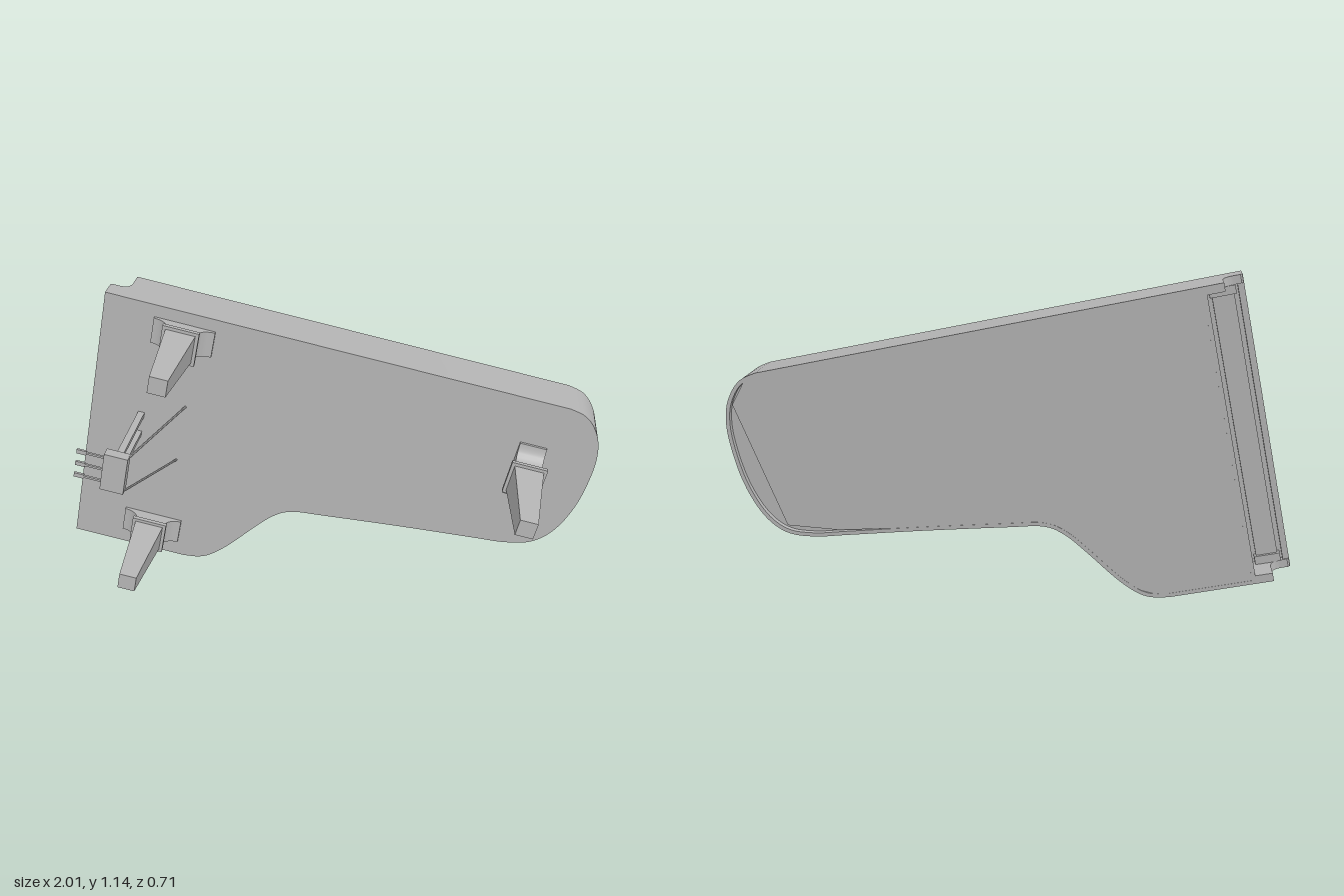
import * as THREE from 'three';
import { toCreasedNormals } from 'three/addons/utils/BufferGeometryUtils.js';

const V2 = (x, y) => new THREE.Vector2(x, y);
const grey = new THREE.MeshStandardMaterial({ color: 0xb4b4b4 });
grey.name = 'plain grey';

const WIDTH = 1.065, HEIGHT = 0.18, FRONT = 0.13;

function part(name, geometry, parent) {
  const mesh = new THREE.Mesh(toCreasedNormals(geometry, 0.5), grey);
  mesh.name = name;
  parent.add(mesh);
  return mesh;
}

function box(name, parent, [w, d, h], [x, y, z]) {
  const mesh = part(name, new THREE.BoxGeometry(w, d, h), parent);
  mesh.position.set(x, y, z);
  return mesh;
}

// Straight rod between two points
function rod(name, parent, a, b, radius) {
  const start = new THREE.Vector3(...a), end = new THREE.Vector3(...b);
  const dir = end.clone().sub(start);
  const mesh = part(name, new THREE.CylinderGeometry(radius, radius, dir.length(), 8), parent);
  mesh.position.copy(start).add(end).multiplyScalar(0.5);
  mesh.quaternion.setFromUnitVectors(new THREE.Vector3(0, 1, 0), dir.normalize());
}

// Slab between two heights above the underside (the lid side is -z)
function slab(shape, from, to) {
  const g = new THREE.ExtrudeGeometry(shape, { depth: to - from, bevelEnabled: false });
  return g.translate(0, 0, -to);
}

// Moves a closed outline inwards by a fixed distance
function inset(points, distance) {
  return points.map((p, i) => {
    const n = points.length;
    const a = p.clone().sub(points[(i + n - 1) % n]).normalize();
    const b = points[(i + 1) % n].clone().sub(p).normalize();
    const normal = V2(-a.y - b.y, a.x + b.x).normalize();
    const miter = Math.max(0.4, normal.dot(V2(-a.y, a.x)));
    return p.clone().addScaledVector(normal, distance / miter);
  });
}

// Case outline: straight front and spine, S-shaped bent side, round tail
function caseOutline() {
  const bend = new THREE.SplineCurve([
    [0.44, 0], [0.505, 0.012], [0.554, 0.042], [0.613, 0.106], [0.692, 0.214], [0.757, 0.294],
    [0.825, 0.337], [0.95, 0.356], [1.25, 0.395], [1.52, 0.426], [1.648, 0.442], [1.743, 0.477],
    [1.808, 0.557], [1.848, 0.689], [1.857, 0.843], [1.842, 0.942], [1.808, 1.007],
    [1.76, 1.05], [1.70, WIDTH],
  ].map(([x, y]) => V2(x, y)));
  return [V2(FRONT, 0), ...bend.getPoints(90), V2(FRONT, WIDTH)];
}

function buildCase(piano) {
  const outline = caseOutline();
  part('caseBody', slab(new THREE.Shape(outline), 0, 0.16), piano);

  const rim = new THREE.Shape(outline);
  rim.holes.push(new THREE.Path(inset(outline, 0.014)));
  part('rim', slab(rim, 0.16, HEIGHT), piano);

  // Lid with straight cuts across the tail and bent side
  const lid = new THREE.Shape([
    [FRONT + 0.005, 0.008], [0.46, 0.008], [0.545, 0.048], [0.605, 0.114], [0.685, 0.225],
    [0.75, 0.305], [0.82, 0.348], [0.95, 0.368], [1.25, 0.407], [1.55, 0.45], [1.73, 0.50],
    [1.81, 0.97], [1.75, 1.04], [1.70, 1.057], [FRONT + 0.005, 1.057],
  ].map(([x, y]) => V2(x, y)));
  part('lid', slab(lid, 0.158, HEIGHT - 0.001), piano);
}

function buildKeyboard(piano) {
  box('keyBed', piano, [FRONT, WIDTH, 0.055], [FRONT / 2, WIDTH / 2, -0.0275]);
  box('keySlip', piano, [0.022, WIDTH, 0.07], [0.011, WIDTH / 2, -0.035]);
  box('keys', piano, [0.075, WIDTH - 0.1, 0.02], [0.075, WIDTH / 2, -0.062]);

  // Curved arms at both ends of the keyboard
  const arm = new THREE.Shape();
  arm.moveTo(0, 0);
  arm.lineTo(FRONT, 0);
  arm.lineTo(FRONT, HEIGHT);
  arm.lineTo(0.07, HEIGHT);
  arm.lineTo(0.07, 0.115);
  arm.quadraticCurveTo(0.068, 0.078, 0.035, 0.076);
  arm.lineTo(0.008, 0.076);
  arm.lineTo(0, 0.068);
  for (const y of [0, WIDTH - 0.03]) {
    const g = new THREE.ExtrudeGeometry(arm, { depth: 0.03, bevelEnabled: false, curveSegments: 8 });
    part('keyboardArm', g.rotateX(-Math.PI / 2), piano).position.y = y;
    box('keyBlock', piano, [0.09, 0.03, 0.03], [0.075, y ? WIDTH - 0.045 : 0.045, -0.068]);
  }
}

// Leg with flared bracket, collar and square taper
function buildLeg(piano, name, x, y, turn) {
  const leg = new THREE.Group();
  leg.name = name;
  leg.position.set(x, y, 0);
  leg.rotation.z = turn;
  piano.add(leg);

  const flare = new THREE.Shape();
  flare.moveTo(-0.112, -0.002);
  flare.lineTo(0.112, -0.002);
  flare.lineTo(0.112, 0.01);
  flare.quadraticCurveTo(0.058, 0.014, 0.052, 0.064);
  flare.lineTo(-0.052, 0.064);
  flare.quadraticCurveTo(-0.058, 0.014, -0.112, 0.01);
  const g = new THREE.ExtrudeGeometry(flare, { depth: 0.1, bevelEnabled: false, curveSegments: 10 });
  part('legBracket', g.translate(0, 0, -0.05).rotateX(Math.PI / 2), leg);
  box('legCollar', leg, [0.132, 0.132, 0.016], [0, 0, 0.07]);

  const taper = new THREE.CylinderGeometry(0.064 / Math.SQRT2, 0.108 / Math.SQRT2, 0.304, 4);
  part('legPost', taper.rotateY(Math.PI / 4).rotateX(Math.PI / 2), leg).position.z = 0.228;
}

function buildPedals(piano) {
  const lyre = new THREE.Group();
  lyre.name = 'pedalLyre';
  piano.add(lyre);
  const x = 0.19, y = 0.563;
  box('pedalBox', lyre, [0.085, 0.15, 0.04], [x, y, 0.34]);
  for (const side of [-1, 1]) {
    box('lyrePost', lyre, [0.024, 0.02, 0.33], [x, y + side * 0.042, 0.16]);
    rod('lyreBrace', lyre, [0.232, y + side * 0.072, 0.335], [0.349, y + side * 0.12, 0], 0.0045);
  }
  for (const i of [-1, 0, 1]) {
    box('pedalStem', lyre, [0.1, 0.008, 0.008], [x - 0.085, y + i * 0.05, 0.342]);
    box('pedalTip', lyre, [0.035, 0.016, 0.009], [x - 0.125, y + i * 0.05, 0.342]);
  }
}

export function createModel() {
  const model = new THREE.Group();
  model.name = 'grandPiano';

  // The piano lies tipped on its lid: x runs to the tail, y to the spine, z down the legs
  const piano = new THREE.Group();
  piano.name = 'tippedPiano';
  const length = new THREE.Vector3(0.976, -0.2, 0.0835).normalize();
  const across = new THREE.Vector3(0.2065, 0.9763, -0.0657);
  const down = length.clone().cross(across).normalize();
  across.crossVectors(down, length);
  piano.applyMatrix4(new THREE.Matrix4().makeBasis(length, across, down).setPosition(-1, 0.1, -0.11));
  model.add(piano);

  buildCase(piano);
  buildKeyboard(piano);
  buildLeg(piano, 'frontLegSpine', 0.298, 0.968, 0);
  buildLeg(piano, 'frontLegBent', 0.298, 0.115, 0);
  buildLeg(piano, 'tailLeg', 1.619, 0.774, Math.PI / 2);
  buildPedals(piano);
  return model;
}
